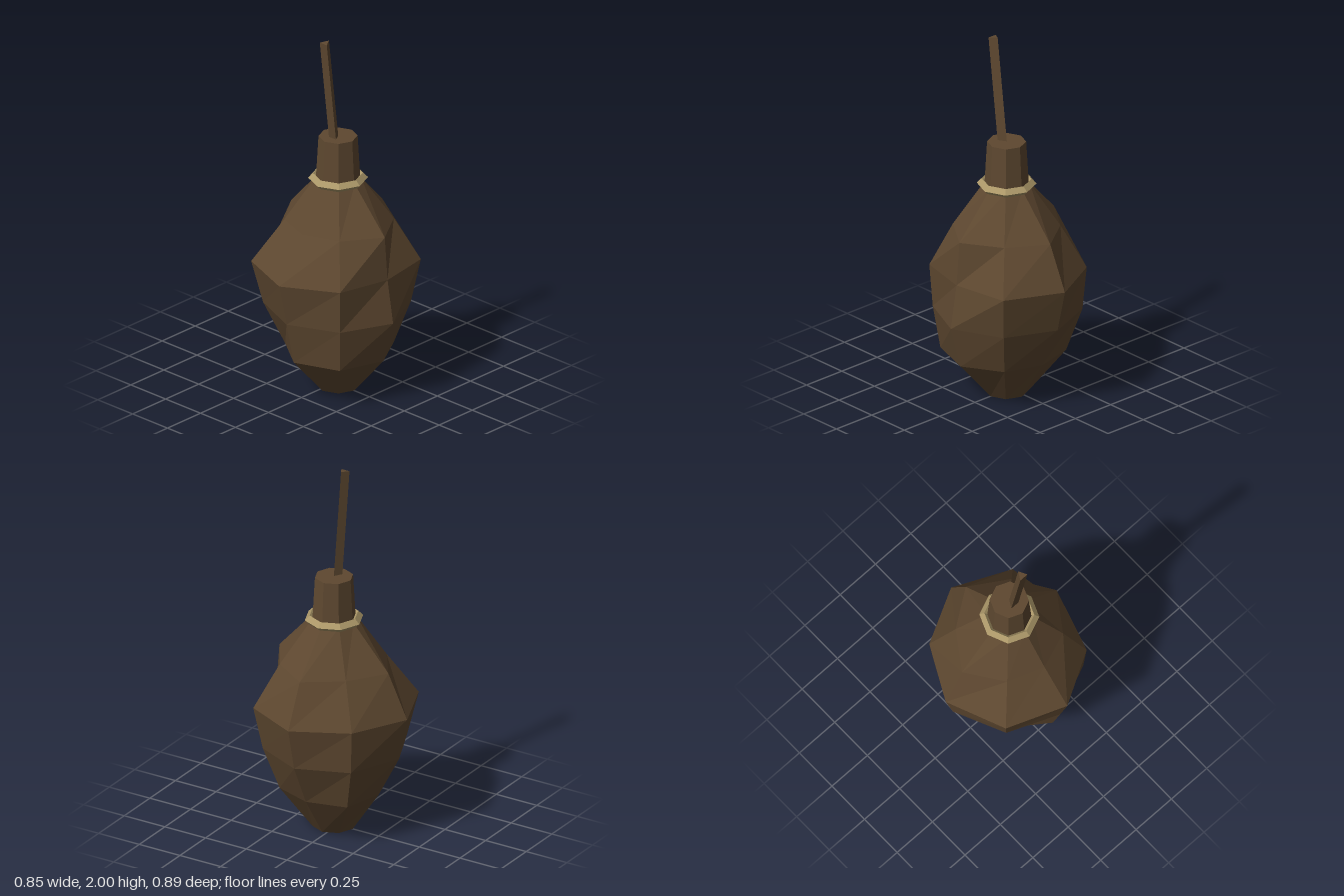
import * as THREE from 'three';

const AXIS_X = 0.025;

export function createModel() {
  const model = new THREE.Group();
  model.name = 'pouch';

  const leather = new THREE.MeshStandardMaterial({ color: 0x5e4830, flatShading: true });
  leather.name = 'brown leather';
  const cord = new THREE.MeshStandardMaterial({ color: 0xab9768, flatShading: true });
  cord.name = 'tan cord';

  const add = (name, geometry, material, x, y, z) => {
    const mesh = new THREE.Mesh(geometry, material);
    mesh.name = name;
    mesh.position.set(x, y, z);
    model.add(mesh);
    return mesh;
  };

  // Lumpy eight-sided body: one radius per corner, starting at the front and turning towards +x
  const HEIGHT = 1.19;
  const rings = [
    [0.115, 0.115, 0.115, 0.115, 0.115, 0.115, 0.115, 0.115],
    [0.335, 0.345, 0.325, 0.29, 0.275, 0.31, 0.275, 0.275],
    [0.39, 0.385, 0.395, 0.38, 0.39, 0.395, 0.4, 0.39],
    [0.445, 0.403, 0.355, 0.431, 0.447, 0.417, 0.45, 0.4525],
    [0.27, 0.28, 0.335, 0.29, 0.335, 0.28, 0.335, 0.28],
    [0.12, 0.12, 0.12, 0.12, 0.12, 0.12, 0.12, 0.12],
  ];
  const bodyGeometry = new THREE.CylinderGeometry(1, 1, HEIGHT, 8, 5);
  bodyGeometry.translate(0, HEIGHT / 2, 0);
  const p = bodyGeometry.attributes.position;
  for (let i = 0; i < p.count; i++) {
    const ring = Math.round((p.getY(i) / HEIGHT) * 5);
    const corner = (Math.round(Math.atan2(p.getX(i), p.getZ(i)) / (Math.PI / 4)) + 8) % 8;
    const r = rings[ring][corner];
    p.setX(i, p.getX(i) * r);
    p.setZ(i, p.getZ(i) * r);
  }
  bodyGeometry.computeVertexNormals();
  add('body', bodyGeometry, leather, AXIS_X, 0, 0);

  // Cord tied around the opening
  const tie = new THREE.TorusGeometry(0.13, 0.026, 4, 8);
  tie.rotateX(Math.PI / 2);
  add('tie', tie, cord, AXIS_X, 1.19, 0);

  // Gathered neck above the cord
  add('neck', new THREE.CylinderGeometry(0.102, 0.116, 0.25, 8), leather, AXIS_X, 1.305, 0);

  // Three-sided stem leaning forward
  const stem = new THREE.CylinderGeometry(0.029, 0.029, 0.6, 3);
  stem.rotateY(Math.PI);
  add('stem', stem, leather, AXIS_X, 1.7, 0.061).rotation.x = 0.122;

  return model;
}
